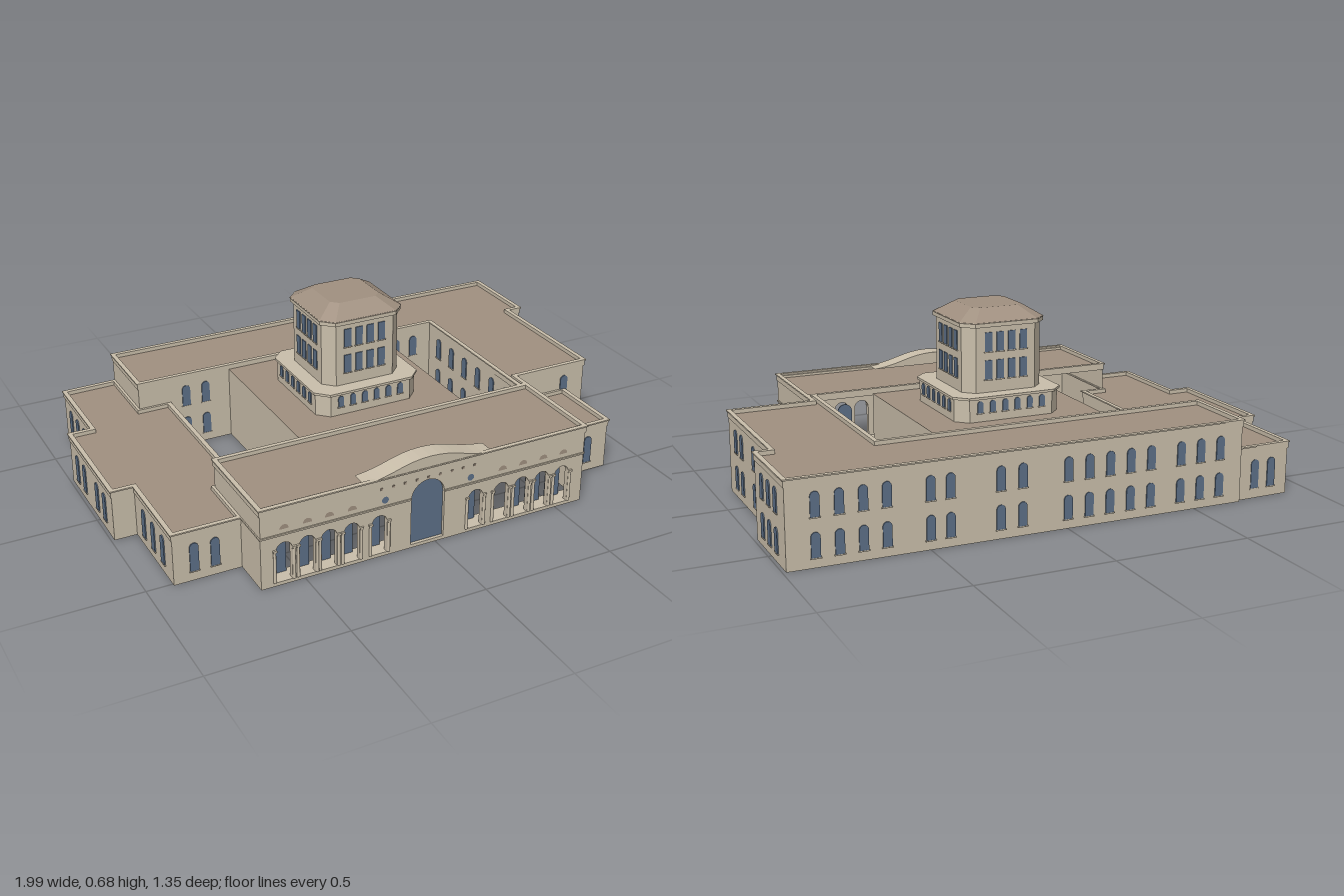
import * as THREE from 'three';

const mat = (name, color, side = THREE.FrontSide) => {
  const m = new THREE.MeshStandardMaterial({ color, side });
  m.name = name;
  return m;
};

export function createModel() {
  const stone = mat('stone', 0xcabfab, THREE.DoubleSide);
  const roofing = mat('roofing', 0xa09080, THREE.DoubleSide);
  const glass = mat('glass', 0x5d7088, THREE.DoubleSide);
  const model = new THREE.Group();
  model.name = 'courtyardBuilding';

  const add = (parent, name, geo, material, x = 0, y = 0, z = 0) => {
    const m = new THREE.Mesh(geo, material);
    m.name = name;
    m.position.set(x, y, z);
    parent.add(m);
    return m;
  };
  const group = (name) => {
    const g = new THREE.Group();
    g.name = name;
    model.add(g);
    return g;
  };

  // Plan helpers: outlines are [x, z], counterclockwise seen from above
  const planShape = (pts) => new THREE.Shape(pts.map(([x, z]) => new THREE.Vector2(x, -z)));
  const slab = (shape, depth) => new THREE.ExtrudeGeometry(shape, { depth, bevelEnabled: false }).rotateX(-Math.PI / 2);
  const offset = (pts, o) => pts.map((p, i) => {
    const n = pts.length, a = pts[(i + n - 1) % n], b = pts[(i + 1) % n];
    const normal = (s, e) => new THREE.Vector2(s[1] - e[1], e[0] - s[0]).normalize();
    const n1 = normal(a, p), n2 = normal(p, b), k = o / (1 + n1.dot(n2));
    return [p[0] + (n1.x + n2.x) * k, p[1] + (n1.y + n2.y) * k];
  });
  const ring = (pts, out, inn, depth) => {
    const s = planShape(offset(pts, out));
    s.holes.push(planShape(offset(pts, -inn)));
    return slab(s, depth);
  };

  // Hollow block: walls, sunken roof and cornice with parapet
  function block(name, pts, h, skip = [], cornice = true) {
    const g = group(name);
    pts.forEach((a, i) => {
      if (skip.includes(i)) return;
      const b = pts[(i + 1) % pts.length], dx = b[0] - a[0], dz = b[1] - a[1];
      const w = add(g, 'wall', new THREE.PlaneGeometry(Math.hypot(dx, dz), h - 0.005), stone,
        (a[0] + b[0]) / 2, (h - 0.005) / 2, (a[1] + b[1]) / 2);
      w.rotation.y = Math.atan2(-dz, dx);
    });
    const roof = new THREE.ShapeGeometry(planShape(pts)).rotateX(-Math.PI / 2);
    add(g, 'roof', roof, roofing, 0, cornice ? h - 0.014 : h - 0.005, 0);
    if (cornice) {
      add(g, 'cornice', ring(pts, 0.003, 0.01, 0.022), stone, 0, h - 0.026, 0);
      add(g, 'parapetCap', ring(pts, 0.007, 0.01, 0.005), stone, 0, h - 0.004, 0);
    }
    return g;
  }

  block('tallWing', [[0.988, -0.66], [-0.69, -0.672], [-0.69, -0.38], [0.58, -0.38], [0.58, 0.29], [0.61, 0.29],
    [0.61, 0.21], [0.93, 0.21], [0.93, -0.335], [0.988, -0.335]], 0.305, [4, 5]);
  block('lowWing', [[-0.69, -0.66], [-0.9, -0.655], [-0.9, -0.31], [-0.988, -0.31], [-0.988, 0.155], [-0.905, 0.155],
    [-0.905, 0.51], [-0.66, 0.51], [-0.66, 0.29], [-0.57, 0.29], [-0.57, -0.38], [-0.69, -0.38]], 0.197, [7, 8, 10, 11]);
  block('lowAnnex', [[0.61, 0.21], [0.61, 0.5], [0.84, 0.5], [0.84, 0.21]], 0.197, [0, 3]);
  block('centralHall', [[-0.32, -0.38], [-0.32, 0.288], [0.345, 0.288], [0.345, -0.38]], 0.29, [3], false);
  const front = block('frontWing', [[-0.66, 0.29], [-0.66, 0.668], [0.61, 0.668], [0.61, 0.29]], 0.305, [1, 3]);

  // Arched outline standing on y, centred on x
  function arch(x, y, w, h, Type = THREE.Shape) {
    const r = w / 2, s = new Type();
    s.moveTo(x - r, y);
    s.lineTo(x + r, y);
    s.lineTo(x + r, y + h - r);
    s.absarc(x, y + h - r, r, 0, Math.PI, false);
    s.lineTo(x - r, y);
    return s;
  }
  const plate = (shape, depth) => new THREE.ExtrudeGeometry(shape, { depth, bevelEnabled: false, curveSegments: 8 });

  // Open arcade with a tall central doorway
  const arches = [-0.575, -0.49, -0.41, -0.325, -0.22, 0.16, 0.265, 0.35, 0.435, 0.52];
  const doorX = -0.033;
  const facade = new THREE.Shape([[-0.66, 0], [0.61, 0], [0.61, 0.3], [-0.66, 0.3]].map((p) => new THREE.Vector2(...p)));
  arches.forEach((x) => facade.holes.push(arch(x, 0.013, 0.058, 0.15, THREE.Path)));
  facade.holes.push(arch(doorX, 0.013, 0.13, 0.242, THREE.Path));
  add(front, 'arcadeWall', plate(facade, 0.02), stone, 0, 0, 0.648);
  add(front, 'arcadeFloor', new THREE.BoxGeometry(1.27, 0.012, 0.07), stone, -0.025, 0.006, 0.633);
  add(front, 'door', plate(arch(doorX, 0.012, 0.13, 0.243), 0.006), glass, 0, 0, 0.65);
  arches.forEach((x, i) => {
    if (i !== 6) add(front, 'arcadeGlass', plate(arch(x, 0.012, 0.06, 0.152), 0.005), glass, 0, 0, 0.61);
    for (const s of [-1, 1]) {
      add(front, 'column', new THREE.CylinderGeometry(0.005, 0.006, 0.118, 10), stone, x + s * 0.035, 0.074, 0.669);
      add(front, 'capital', new THREE.BoxGeometry(0.014, 0.008, 0.012), stone, x + s * 0.035, 0.137, 0.669);
    }
    if (i !== 4 && i !== 5) {
      add(front, 'lunette', new THREE.CircleGeometry(0.017, 12, 0, Math.PI), roofing, x, 0.215, 0.67);
    }
  });
  for (const x of [-0.2, 0.135]) add(front, 'roundWindow', new THREE.CircleGeometry(0.013, 16), glass, x, 0.22, 0.67);
  for (let i = 0; i < 9; i++) {
    add(front, 'friezeStud', new THREE.BoxGeometry(0.008, 0.008, 0.004), roofing, -0.215 + i * 0.0455, 0.265, 0.669);
  }
  for (const [x0, x1] of [[-0.66, -0.1], [0.034, 0.61]]) {
    add(front, 'stringCourse', new THREE.BoxGeometry(x1 - x0, 0.006, 0.008), stone, (x0 + x1) / 2, 0.195, 0.669);
  }
  for (const x of [-0.66, 0.61]) {
    add(front, 'sideCourse', new THREE.BoxGeometry(0.008, 0.006, 0.165), stone, x, 0.195, 0.588);
  }

  // Curved gable above the doorway
  const gable = new THREE.Shape();
  gable.moveTo(-0.28, 0.3);
  gable.bezierCurveTo(-0.17, 0.31, -0.13, 0.347, -0.03, 0.347);
  gable.bezierCurveTo(0.07, 0.347, 0.11, 0.31, 0.22, 0.3);
  add(front, 'gable', plate(gable, 0.073), stone, 0, 0, 0.6);

  // Windows: face angle, wall plane, positions along the wall, sill heights
  const F = 0, R = Math.PI / 2, B = Math.PI, L = -Math.PI / 2;
  function windows(face, plane, list, sills, w = 0.032, h = 0.095, square = false) {
    const geo = square ? new THREE.BoxGeometry(w, h, 0.007).translate(0, h / 2, 0)
      : plate(arch(0, 0, w, h), 0.007).translate(0, 0, -0.003);
    const sill = new THREE.BoxGeometry(w + 0.006, 0.004, 0.01);
    const g = group('windowRow');
    for (const y of sills) for (const a of list) {
      const pos = face === F || face === B ? [a, y, plane] : [plane, y, a];
      add(g, 'window', geo, glass, ...pos).rotation.y = face;
      add(g, 'sill', sill, stone, pos[0], y - 0.002, pos[2]).rotation.y = face;
    }
  }
  const two = [0.035, 0.17], low = [0.038];
  windows(R, 0.93, [0.115, 0.04, -0.115, -0.19, -0.27], two, 0.032, 0.085);
  windows(R, 0.988, [-0.415, -0.49, -0.565], two, 0.032, 0.085);
  windows(R, 0.84, [0.43, 0.36, 0.285], low, 0.034, 0.11);
  windows(F, 0.51, [-0.83, -0.755], low, 0.032, 0.107);
  windows(F, 0.5, [0.68, 0.755], low, 0.032, 0.107);
  windows(F, 0.21, [0.84], [0.18], 0.032, 0.075);
  // The rear wall leans very slightly, so each window follows it
  for (const x of [0.89, 0.81, 0.73, 0.65, 0.5, 0.43, 0.25, 0.17, 0, -0.08, -0.16, -0.24, -0.32, -0.44, -0.52, -0.6]) {
    windows(B, -0.66 - (0.988 - x) * 0.00715, [x], two, 0.032, 0.085);
  }
  windows(B, -0.657, [-0.76, -0.83], low, 0.032, 0.107);
  windows(L, -0.9, [-0.58, -0.5, -0.42], low, 0.032, 0.107);
  windows(L, -0.988, [-0.23, -0.15, -0.01, 0.07], low, 0.032, 0.107);
  windows(L, -0.905, [0.24, 0.33, 0.42], low, 0.032, 0.107);
  windows(R, -0.57, [-0.3, -0.2, -0.1, 0, 0.1, 0.2], low, 0.032, 0.107);
  windows(L, 0.58, [-0.3, -0.2, -0.1, 0, 0.1, 0.2], two, 0.032, 0.085);
  windows(F, -0.38, [-0.5, -0.42, 0.42, 0.5], two, 0.032, 0.085);

  // Tower of chamfered squares
  const cx = 0.015, cz = -0.045;
  const chamfered = (r, c) => [[r, -r + c], [r - c, -r], [-r + c, -r], [-r, -r + c],
    [-r, r - c], [-r + c, r], [r - c, r], [r, r - c]];
  const tower = group('tower');
  const tier = (name, r, c, y0, y1, m = stone) =>
    add(tower, name, slab(planShape(chamfered(r, c)), y1 - y0), m, cx, y0, cz);
  tier('base', 0.205, 0.042, 0.284, 0.37);
  tier('baseCornice', 0.213, 0.045, 0.368, 0.377);
  tier('shaft', 0.156, 0.04, 0.375, 0.62);
  tier('eaves', 0.166, 0.043, 0.617, 0.634);
  const cap = slab(planShape(chamfered(0.168, 0.044)), 0.044);
  const p = cap.attributes.position;
  for (let i = 0; i < p.count; i++) {
    if (p.getY(i) > 0.02) p.setXYZ(i, p.getX(i) * 0.59, p.getY(i), p.getZ(i) * 0.59);
  }
  cap.computeVertexNormals();
  add(tower, 'towerRoof', cap, roofing, cx, 0.632, cz);

  const shaftSpots = [-0.07, -0.024, 0.022, 0.068];
  const baseSpots = [-0.122, -0.073, -0.024, 0.024, 0.073, 0.122];
  for (const [face, sign, mid, across] of [[F, 1, cz, cx], [B, -1, cz, cx], [R, 1, cx, cz], [L, -1, cx, cz]]) {
    windows(face, mid + sign * 0.156, shaftSpots.map((a) => a + across), [0.425, 0.527], 0.028, 0.07, true);
    windows(face, mid + sign * 0.205, baseSpots.map((a) => a + across), [0.318], 0.022, 0.043);
  }
  return model;
}
